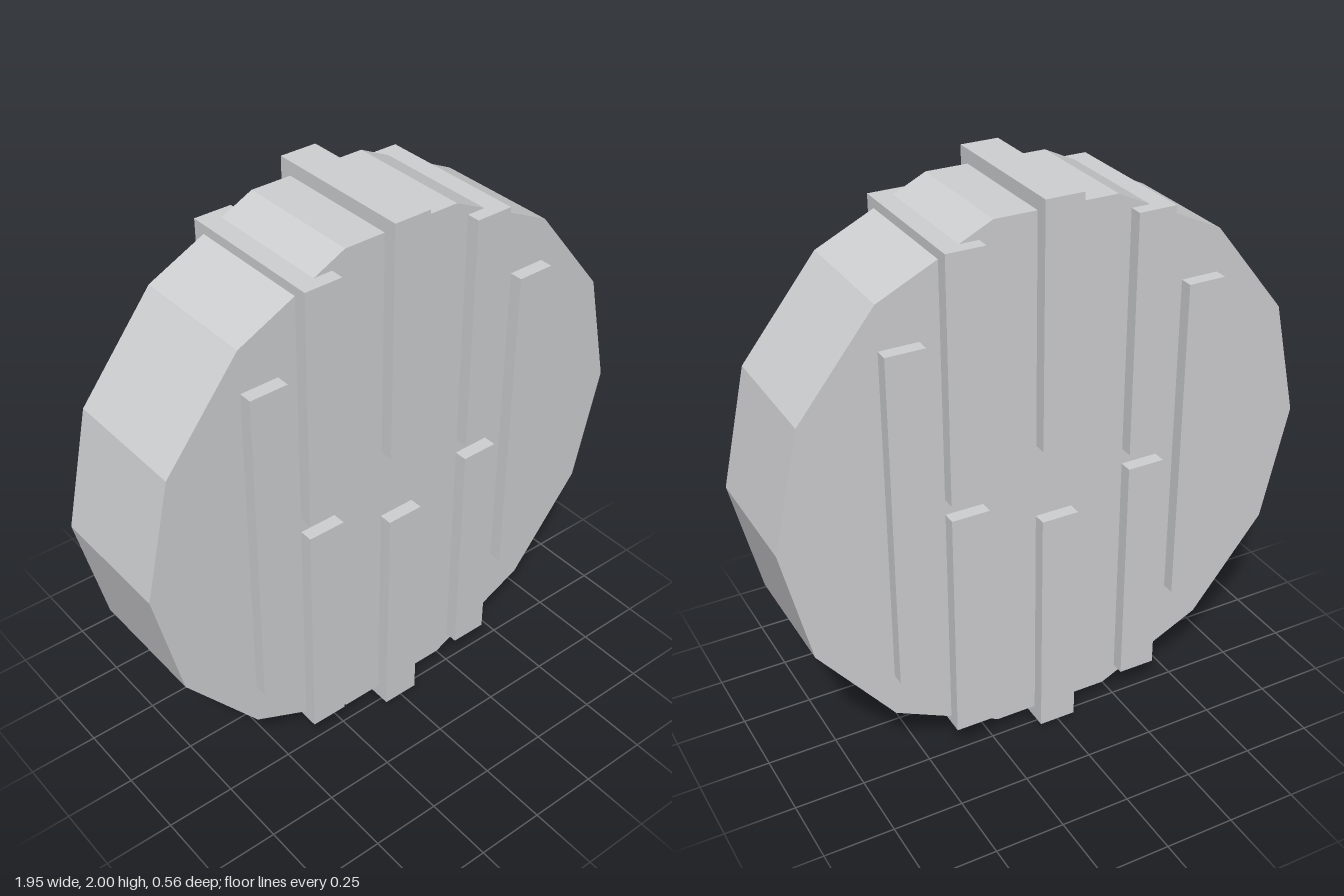
import * as THREE from 'three';

export function createModel() {
  const model = new THREE.Group();
  const grey = new THREE.MeshStandardMaterial({ color: 0xcfd0d2 });
  grey.name = 'lightGrey';
  grey.flatShading = true;

  // Fourteen-sided drum lying on its side, corners pointing left and right
  const drumGeometry = new THREE.CylinderGeometry(0.975, 0.975, 0.46, 14, 1, false, Math.PI / 2);
  drumGeometry.rotateX(Math.PI / 2);
  const drum = new THREE.Mesh(drumGeometry, grey);
  drum.name = 'drum';
  drum.position.y = 1;
  model.add(drum);

  // Upright bars running through the drum and standing proud of both faces
  function addBar(name, x, bottom, top) {
    const bar = new THREE.Mesh(new THREE.BoxGeometry(0.136, top - bottom, 0.555), grey);
    bar.name = name;
    bar.position.set(x, (bottom + top) / 2, 0);
    model.add(bar);
  }

  addBar('centreUpperBar', 0, 1.138, 2);
  addBar('centreLowerBar', 0, 0, 0.867);
  for (const [side, s] of [['left', 1], ['right', -1]]) {
    addBar(side + 'InnerUpperBar', s * 0.333, 1.032, 1.895);
    addBar(side + 'InnerLowerBar', s * 0.333, 0.11, 0.975);
    addBar(side + 'OuterBar', s * 0.538, 0.398, 1.61);
  }
  return model;
}
